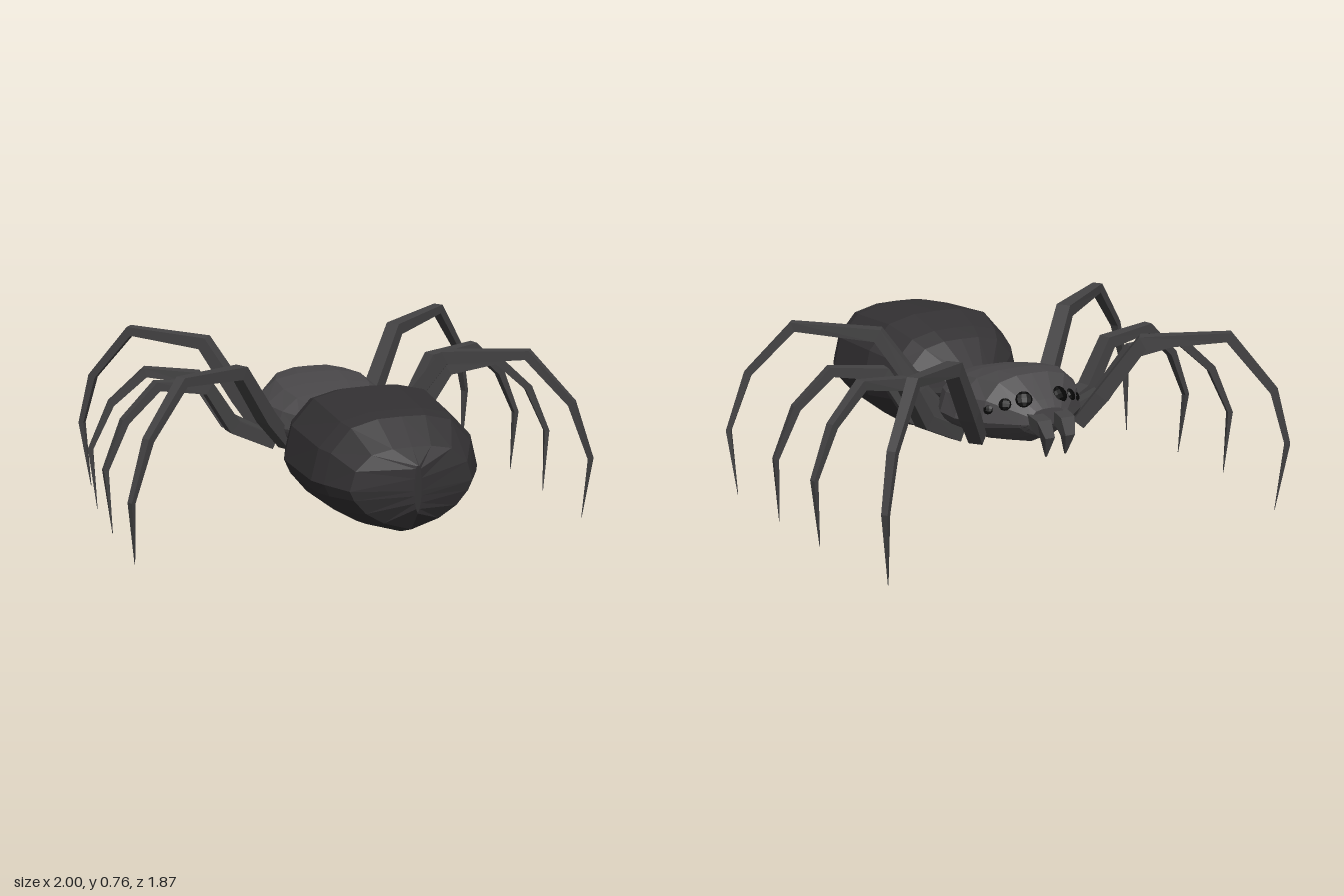
import * as THREE from 'three';

const material = (color) => new THREE.MeshStandardMaterial({ color, flatShading: true, roughness: 0.8 });
const bodyMat = material(0x484648);
const abdomenMat = material(0x333133);
const legMat = material(0x434243);
const eyeMat = material(0x060606);

// Skin a list of closed rings (arrays of Vector3) and cap both ends
function loft(rings) {
  const tris = [];
  const n = rings[0].length;
  for (let r = 0; r < rings.length - 1; r++) {
    for (let i = 0; i < n; i++) {
      const j = (i + 1) % n;
      const a = rings[r][i], b = rings[r][j], c = rings[r + 1][j], d = rings[r + 1][i];
      tris.push([a, b, c], [a, c, d]);
    }
  }
  const first = rings[0], last = rings[rings.length - 1];
  for (let i = 1; i < n - 1; i++) {
    tris.push([first[0], first[i + 1], first[i]], [last[0], last[i], last[i + 1]]);
  }
  // a negative enclosed volume means the faces point inwards
  let volume = 0;
  const cross = new THREE.Vector3();
  for (const [a, b, c] of tris) volume += a.dot(cross.crossVectors(b, c));
  const pos = [];
  for (const [a, b, c] of tris) {
    for (const p of volume < 0 ? [a, c, b] : [a, b, c]) pos.push(p.x, p.y, p.z);
  }
  const geo = new THREE.BufferGeometry();
  geo.setAttribute('position', new THREE.Float32BufferAttribute(pos, 3));
  geo.computeVertexNormals();
  return geo;
}

// Half of the body cross-section, top to bottom, in unit size
const HALF = [[0, 1], [0.31, 0.99], [0.65, 0.88], [0.91, 0.5], [1, 0], [0.93, -0.22], [0.74, -0.54], [0.45, -0.8], [0, -1]];
const SECTION = [...HALF, ...HALF.slice(1, -1).reverse().map(([x, y]) => [-x, y])];

// Body shell from stations [z, half width, top, bottom]
function shell(stations, mid) {
  return loft(stations.map(([z, w, top, bottom]) =>
    SECTION.map(([x, y]) => new THREE.Vector3(x * w, mid + y * (y > 0 ? top - mid : mid - bottom), z))));
}

// Four-sided tapering limb through joints [x, y, z, radius]; h is its level sideways axis
function limb(joints, h) {
  const pts = joints.map(([x, y, z]) => new THREE.Vector3(x, y, z));
  return loft(pts.map((p, i) => {
    const dirIn = p.clone().sub(pts[Math.max(i - 1, 0)]).normalize();
    const dirOut = pts[Math.min(i + 1, pts.length - 1)].clone().sub(p).normalize();
    const up = new THREE.Vector3().crossVectors(dirIn.add(dirOut).normalize(), h).normalize();
    const r = joints[i][3];
    return [[1, 1], [-1, 1], [-1, -1], [1, -1]].map(([a, b]) =>
      p.clone().addScaledVector(h, a * r).addScaledVector(up, b * r * 0.9));
  }));
}

// Legs on the +x side, front to back, body joint to tip
const LEGS = {
  frontLeg: [
    [0.24, 0.35, -0.41, 0.03], [0.31, 0.47, -0.47, 0.034], [0.44, 0.70, -0.57, 0.032], [0.72, 0.73, -0.77, 0.023],
    [0.87, 0.51, -0.885, 0.018], [0.92, 0.29, -0.92, 0.013], [0.895, 0.0, -0.885, 0.001]],
  frontMiddleLeg: [
    [0.24, 0.33, -0.25, 0.03], [0.42, 0.42, -0.30, 0.034], [0.535, 0.605, -0.35, 0.031], [0.745, 0.635, -0.39, 0.023],
    [0.89, 0.50, -0.425, 0.018], [0.98, 0.30, -0.445, 0.012], [0.96, 0.03, -0.44, 0.001]],
  rearMiddleLeg: [
    [0.24, 0.33, -0.21, 0.03], [0.42, 0.42, -0.19, 0.034], [0.535, 0.605, -0.165, 0.031], [0.755, 0.635, -0.14, 0.023],
    [0.90, 0.50, -0.12, 0.018], [0.988, 0.30, -0.11, 0.012], [0.97, 0.03, -0.09, 0.001]],
  rearLeg: [
    [0.20, 0.34, -0.13, 0.03], [0.31, 0.48, -0.06, 0.034], [0.45, 0.71, 0.04, 0.032], [0.74, 0.74, 0.235, 0.023],
    [0.905, 0.54, 0.33, 0.018], [0.985, 0.30, 0.36, 0.012], [0.97, 0.03, 0.32, 0.001]],
};

// Eyes on the +x side: x, y, z, radius
const EYES = [[0.085, 0.515, -0.51, 0.035], [0.155, 0.497, -0.48, 0.026], [0.207, 0.475, -0.437, 0.022]];

export function createModel() {
  const model = new THREE.Group();
  model.name = 'spider';
  const add = (name, geo, mat) => {
    const mesh = new THREE.Mesh(geo, mat);
    mesh.name = name;
    model.add(mesh);
    return mesh;
  };

  // Abdomen, ending in an upright wedge at the rear
  add('abdomen', shell([
    [0.015, 0.11, 0.49, 0.39], [0.145, 0.27, 0.615, 0.26], [0.21, 0.31, 0.65, 0.20], [0.36, 0.36, 0.695, 0.16],
    [0.67, 0.345, 0.675, 0.19], [0.74, 0.315, 0.665, 0.20], [0.86, 0.25, 0.575, 0.245], [0.93, 0.015, 0.52, 0.33]], 0.42), abdomenMat);

  // Head and thorax
  add('cephalothorax', shell([
    [0.02, 0.11, 0.49, 0.33], [-0.03, 0.19, 0.54, 0.28], [-0.1, 0.25, 0.56, 0.275], [-0.2, 0.295, 0.58, 0.275],
    [-0.32, 0.295, 0.595, 0.29], [-0.43, 0.235, 0.595, 0.31], [-0.53, 0.125, 0.51, 0.36], [-0.56, 0.09, 0.48, 0.41]], 0.42), bodyMat);

  for (const side of [1, -1]) {
    const label = side > 0 ? 'left' : 'right';

    // Walking legs
    for (const [name, joints] of Object.entries(LEGS)) {
      const pts = joints.map(([x, y, z, r]) => [x * side, y, z, r]);
      const run = new THREE.Vector3(pts[5][0] - pts[0][0], 0, pts[5][2] - pts[0][2]).normalize();
      add(`${label} ${name}`, limb(pts, new THREE.Vector3(-run.z, 0, run.x)), legMat);
    }

    // Fangs
    add(`${label} fang`, limb([
      [0.06 * side, 0.44, -0.52, 0.033], [0.055 * side, 0.425, -0.60, 0.032],
      [0.047 * side, 0.38, -0.63, 0.022], [0.045 * side, 0.30, -0.615, 0.003]], new THREE.Vector3(1, 0, 0)), legMat);

    // Eyes, flattened against the brow
    EYES.forEach(([x, y, z, r], i) => {
      const eye = add(`${label} eye ${i + 1}`, new THREE.SphereGeometry(r, 10, 6), eyeMat);
      eye.position.set(x * side, y, z);
      eye.scale.z = 0.5;
      eye.lookAt(x * side * 1.9, y + 0.13, z - 0.17);
    });
  }
  return model;
}
